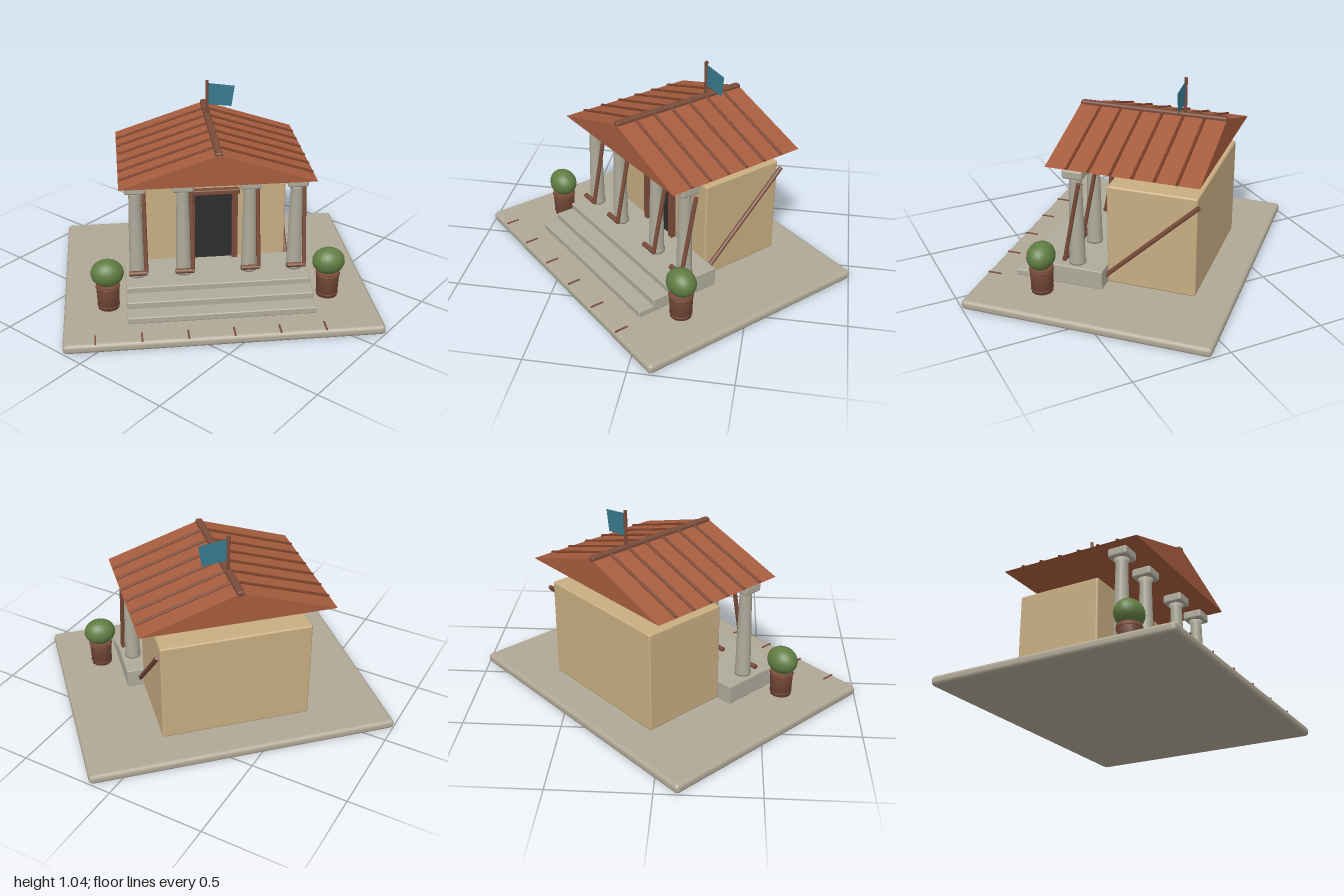
import * as THREE from 'three';
import { RoundedBoxGeometry } from 'three/addons/geometries/RoundedBoxGeometry.js';

const mat = (name, color, side = THREE.FrontSide) => {
  const m = new THREE.MeshStandardMaterial({ color, side });
  m.name = name;
  return m;
};

export function createModel() {
  const paving = mat('paving', 0xb0a896);
  const stone = mat('stone', 0xaeab9b);
  const plaster = mat('plaster', 0xc8ad82);
  const tile = mat('roofTile', 0xa65c3e);
  const tileDark = mat('roofRib', 0x7a4029);
  const wood = mat('wood', 0x7a4c3a);
  const dark = mat('doorway', 0x2e2e2e);
  const leaf = mat('foliage', 0x607d42);
  const cloth = mat('flagCloth', 0x387a8e, THREE.DoubleSide);

  const root = new THREE.Group();
  root.name = 'temple';
  // the whole building stands diagonally on its axes
  root.rotation.y = Math.PI / 4;

  const add = (name, geo, material, x = 0, y = 0, z = 0, parent = root) => {
    const m = new THREE.Mesh(geo, material);
    m.name = name;
    m.position.set(x, y, z);
    parent.add(m);
    return m;
  };
  // box with softened edges, given by its extents
  const block = (name, material, [x0, x1], [y0, y1], [z0, z1], r) =>
    add(name, new RoundedBoxGeometry(x1 - x0, y1 - y0, z1 - z0, 2, r), material,
      (x0 + x1) / 2, (y0 + y1) / 2, (z0 + z1) / 2);
  // round bar between two points
  const rod = (name, material, a, b, r, sides = 10) => {
    const p = new THREE.Vector3(...a), q = new THREE.Vector3(...b);
    const d = q.clone().sub(p);
    const m = add(name, new THREE.CylinderGeometry(r, r, d.length(), sides), material,
      ...p.clone().add(q).multiplyScalar(0.5).toArray());
    m.quaternion.setFromUnitVectors(new THREE.Vector3(0, 1, 0), d.normalize());
    return m;
  };

  // ground slab with joint marks along the front
  block('groundSlab', paving, [-0.79, 0.79], [0, 0.05], [-0.636, 0.636], 0.02);
  for (let i = 0; i < 6; i++)
    add('pavingJoint', new THREE.BoxGeometry(0.009, 0.006, 0.07), wood, -0.633 + i * 0.225, 0.051, 0.594);

  // steps and porch floor
  [[0.085, 0.478], [0.12, 0.393], [0.152, 0.3]].forEach(([top, front], i) =>
    block('step' + (i + 1), stone, [-0.472, 0.472], [0.05, top], [0.012, front], 0.006));

  // hall
  block('hall', plaster, [-0.385, 0.385], [0.05, 0.585], [-0.445, 0.015], 0.01);

  // doorway
  add('door', new THREE.BoxGeometry(0.2, 0.38, 0.008), dark, 0, 0.34, 0.019);
  for (const s of [-1, 1])
    add('doorJamb', new THREE.BoxGeometry(0.03, 0.385, 0.03), wood, s * 0.113, 0.342, 0.026);
  block('doorLintel', wood, [-0.137, 0.137], [0.527, 0.555], [0.008, 0.048], 0.006);

  // columns, each with a foot rail and a leaning pole
  const shaft = new THREE.LatheGeometry(
    [[0, 0], [0.043, 0], [0.043, 0.015], [0.04, 0.025], [0.036, 0.25], [0.031, 0.46], [0.042, 0.485], [0, 0.485]]
      .map(([r, y]) => new THREE.Vector2(r, y)), 16);
  for (const x of [-0.41, -0.17, 0.17, 0.41]) {
    add('columnShaft', shaft, stone, x, 0.15, 0.165);
    block('columnCapital', stone, [x - 0.053, x + 0.053], [0.628, 0.677], [0.112, 0.218], 0.012);
    rod('footRail', wood, [x - 0.045, 0.185, 0.215], [x + 0.05, 0.185, 0.215], 0.013);
    rod('leaningPole', wood, [x + 0.045, 0.185, 0.215], [x + 0.045, 0.61, 0.132], 0.011);
  }

  // base rail of the hall and the brace on its side
  rod('baseRail', wood, [-0.405, 0.085, 0.025], [0.405, 0.085, 0.025], 0.012);
  rod('sideBrace', wood, [0.4, 0.085, 0.03], [0.4, 0.55, -0.455], 0.012);

  // gabled roof
  const gable = new THREE.Shape([[-0.49, 0.692], [0.49, 0.692], [0, 0.853]]
    .map(([x, y]) => new THREE.Vector2(x, y)));
  add('roof', new THREE.ExtrudeGeometry(gable, { depth: 0.77, bevelEnabled: false }), tile, 0, 0, -0.48);
  for (const s of [-1, 1])
    for (let i = 1; i <= 6; i++) {
      const z = -0.48 + i * 0.11;
      rod('roofRib', tileDark, [0, 0.855, z], [s * 0.487, 0.695, z], 0.008, 6);
    }
  block('ridgeCap', wood, [-0.018, 0.018], [0.838, 0.866], [-0.483, 0.29], 0.009);

  // flag
  rod('flagPole', wood, [0, 0.85, -0.265], [0, 1.045, -0.265], 0.009);
  const flag = new THREE.Shape([[0.005, 0.912], [0.13, 0.898], [0.147, 1.01], [0.005, 1.03]]
    .map(([x, y]) => new THREE.Vector2(x, y)));
  add('flag', new THREE.ShapeGeometry(flag), cloth, 0, 0, -0.265);

  // potted shrubs
  const pot = new THREE.LatheGeometry(
    [[0, 0], [0.054, 0], [0.06, 0.125], [0.06, 0.14], [0, 0.14]]
      .map(([r, y]) => new THREE.Vector2(r, y)), 18);
  for (const s of [-1, 1]) {
    const planter = new THREE.Group();
    planter.name = 'planter';
    planter.position.set(s * 0.564, 0.05, 0.295);
    root.add(planter);
    add('pot', pot, wood, 0, 0, 0, planter);
    for (const [y, r] of [[0.018, 0.055], [0.122, 0.06]])
      add('potBand', new THREE.TorusGeometry(r, 0.003, 6, 20), wood, 0, y, 0, planter).rotation.x = Math.PI / 2;
    add('shrub', new THREE.SphereGeometry(1, 20, 14), leaf, 0, 0.195, 0, planter).scale.set(0.084, 0.071, 0.07);
  }

  const model = new THREE.Group();
  model.name = 'model';
  model.add(root);
  return model;
}
